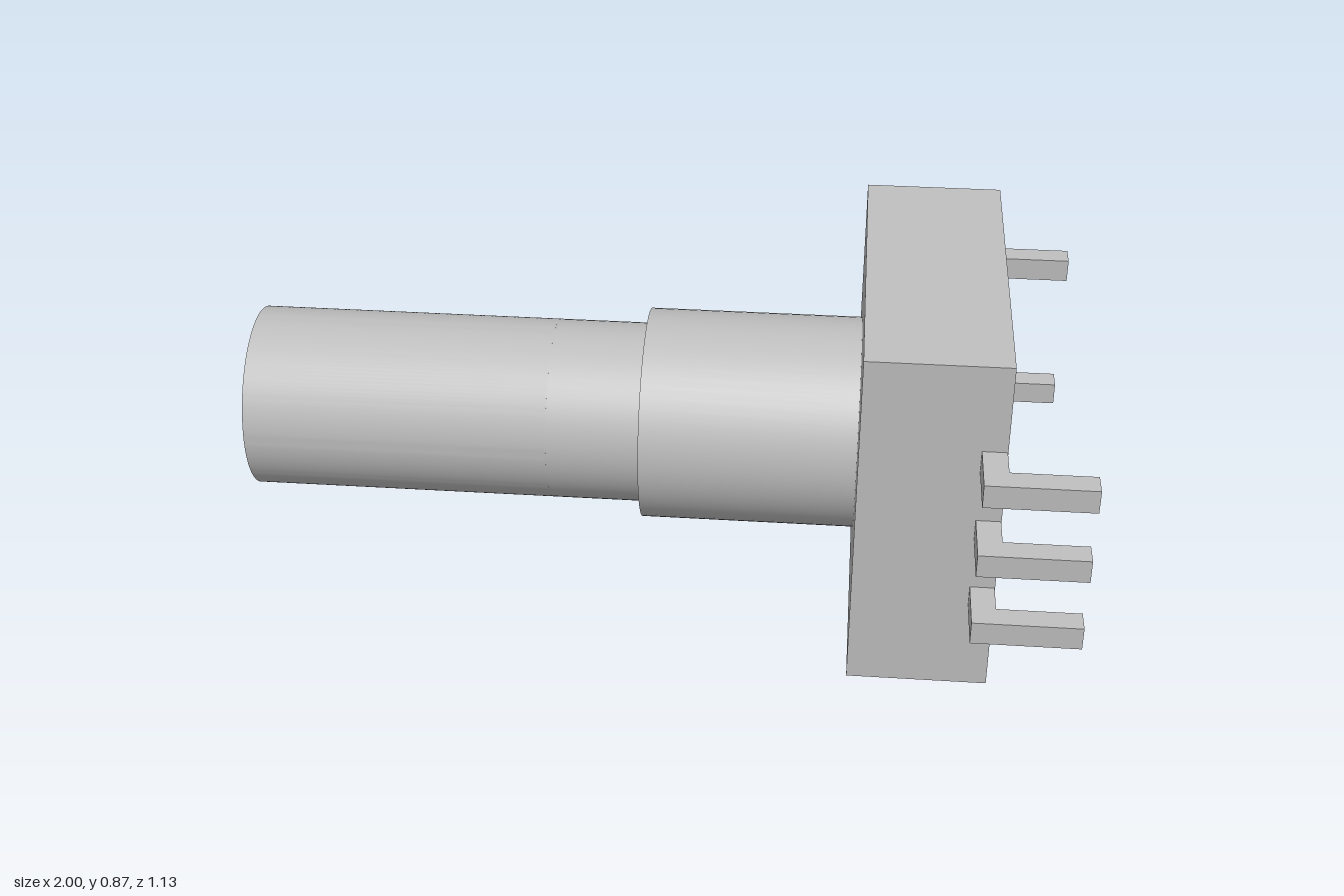
import * as THREE from 'three';
import { toCreasedNormals } from 'three/addons/utils/BufferGeometryUtils.js';

const AXIS_Y = 0.435, AXIS_Z = -0.02;

export function createModel() {
  const model = new THREE.Group();
  model.name = 'rotaryControl';
  const grey = new THREE.MeshStandardMaterial({ color: 0xc0c0c0 });
  grey.name = 'plain grey';

  const add = (name, geometry, x, y, z) => {
    const mesh = new THREE.Mesh(geometry, grey);
    mesh.name = name;
    mesh.position.set(x, y, z);
    model.add(mesh);
  };

  // Cylinder lying along x between two ends
  const rod = (name, radius, x0, x1) => add(
    name,
    new THREE.CylinderGeometry(radius, radius, x1 - x0, 64).rotateZ(Math.PI / 2),
    (x0 + x1) / 2, AXIS_Y, AXIS_Z
  );

  // Square housing
  add('housing', new THREE.BoxGeometry(0.33, 0.865, 0.887), 0.641, 0.4325, -0.017);

  // Bushing and the round part of the shaft
  rod('bushing', 0.257, -0.04, 0.476);
  rod('shaftRound', 0.22, -0.265, -0.04);

  // Shaft end with a flat cut on its back side
  const section = new THREE.Shape();
  section.absarc(0, 0, 0.22, -Math.PI * 2 / 3, Math.PI * 2 / 3, false);
  section.closePath();
  const flatShaft = new THREE.ExtrudeGeometry(section, {
    depth: 0.735, bevelEnabled: false, curveSegments: 48
  }).rotateY(-Math.PI / 2);
  add('shaftFlatted', toCreasedNormals(flatShaft, 0.5), -0.265, AXIS_Y, AXIS_Z);

  // Bent pins: three on the front side, two on the back
  const pin = (name, y, inner, bend, outer) => {
    const outline = new THREE.Shape([
      [0.748, inner], [0.805, inner], [0.805, bend],
      [1, bend], [1, outer], [0.748, outer]
    ].map(([x, z]) => new THREE.Vector2(x, -z)));
    const geometry = new THREE.ExtrudeGeometry(outline, { depth: 0.057, bevelEnabled: false });
    add(name, geometry.rotateX(-Math.PI / 2), 0, y - 0.0285, 0);
  };
  for (const y of [0.25, 0.435, 0.62]) pin('frontPin', y, 0.425, 0.507, 0.565);
  for (const y of [0.25, 0.62]) pin('backPin', y, -0.459, -0.507, -0.565);

  return model;
}
